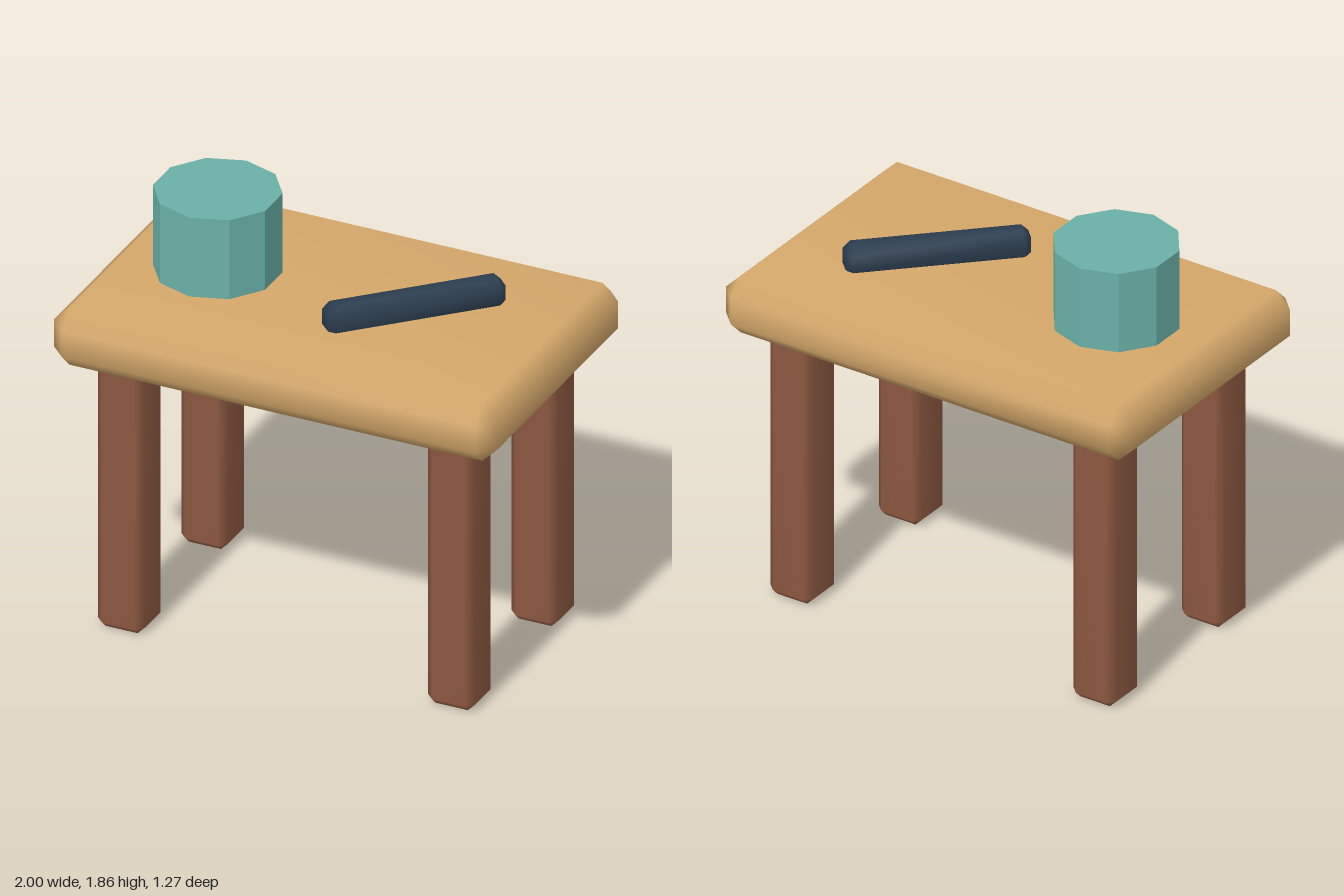
import * as THREE from 'three';
import { mergeVertices } from 'three/addons/utils/BufferGeometryUtils.js';
import { ConvexGeometry } from 'three/addons/geometries/ConvexGeometry.js';

// Box with single-step bevels on every edge, shaded smoothly across the bevels
function beveledBox(w, h, d, bevel) {
  const points = [];
  for (const sx of [-1, 1]) for (const sy of [-1, 1]) for (const sz of [-1, 1]) {
    for (let axis = 0; axis < 3; axis++) {
      const inset = [bevel, bevel, bevel];
      inset[axis] = 0;
      points.push(new THREE.Vector3(
        sx * (w / 2 - inset[0]), sy * (h / 2 - inset[1]), sz * (d / 2 - inset[2])));
    }
  }
  const hull = new ConvexGeometry(points);
  hull.deleteAttribute('normal');
  const geometry = mergeVertices(hull, 1e-4);
  geometry.computeVertexNormals();
  return geometry;
}

function material(name, color, flatShading = false) {
  const m = new THREE.MeshStandardMaterial({ color, flatShading });
  m.name = name;
  return m;
}

export function createModel() {
  const model = new THREE.Group();
  model.name = 'table';

  const lightWood = material('light wood', 0xd4a76a);
  const darkWood = material('dark wood', 0x8b5740);
  const teal = material('teal', 0x6ab0a8, true);
  const navy = material('navy', 0x2c3e50);

  const add = (name, geometry, mat, x, y, z) => {
    const mesh = new THREE.Mesh(geometry, mat);
    mesh.name = name;
    mesh.position.set(x, y, z);
    model.add(mesh);
    return mesh;
  };

  // Thick bevelled top
  add('tableTop', beveledBox(2, 0.262, 1.27, 0.07), lightWood, 0, 1.366, 0);

  // Four square legs, sunk slightly into the top
  const legGeometry = beveledBox(0.212, 1.3, 0.212, 0.033);
  for (const [side, sx] of [['Left', 1], ['Right', -1]]) {
    for (const [end, sz] of [['front', 1], ['back', -1]]) {
      add(`${end}${side}Leg`, legGeometry, darkWood, sx * 0.744, 0.65, sz * 0.391);
    }
  }

  // Ten-sided pot standing on the right half
  add('pot', new THREE.CylinderGeometry(0.266, 0.266, 0.37, 10), teal, -0.533, 1.678, 0);

  // Bar lying diagonally on the left half
  const bar = add('bar', beveledBox(0.767, 0.13, 0.12, 0.03), navy, 0.35, 1.54, 0);
  bar.rotation.y = Math.PI / 4;

  return model;
}
